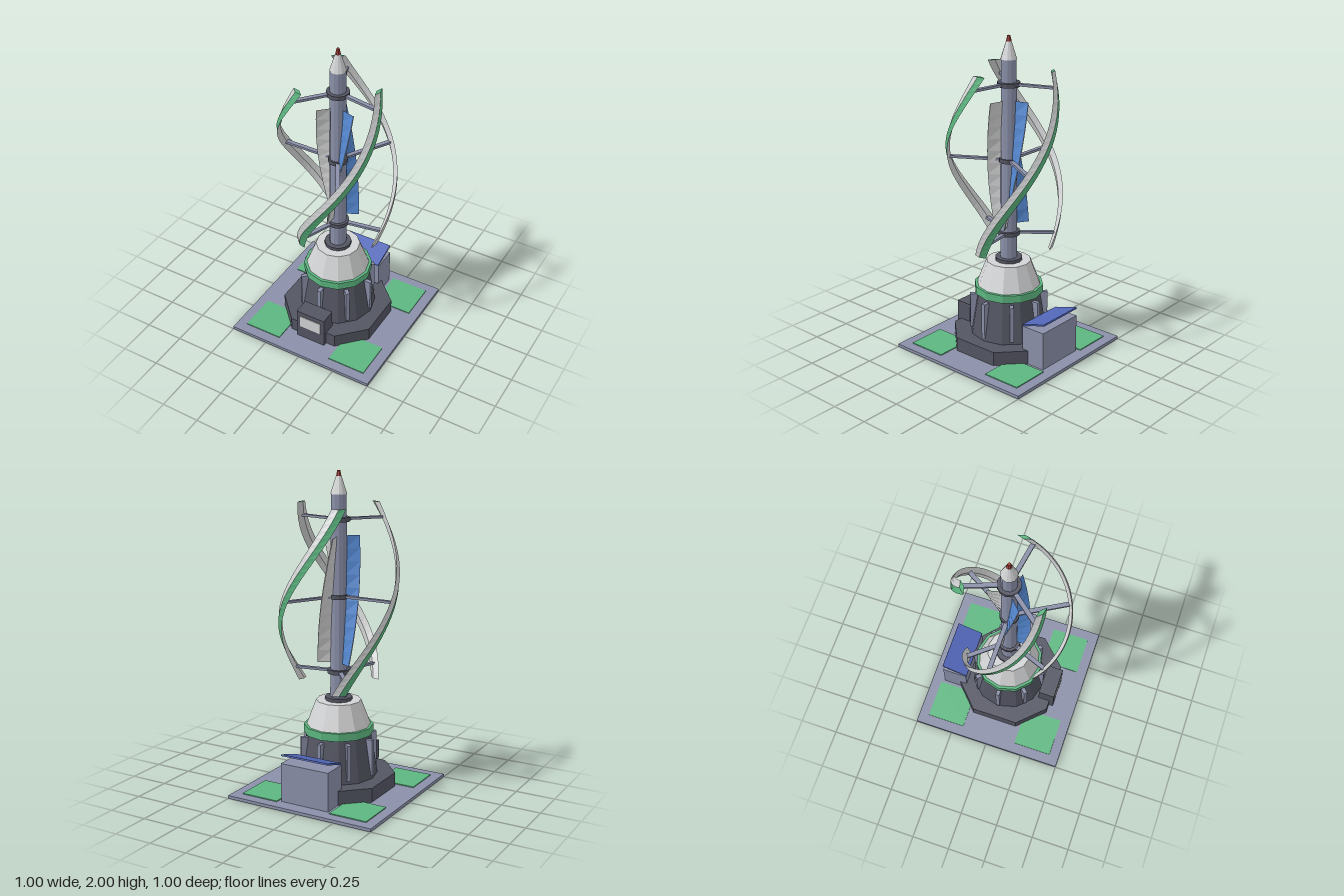
import * as THREE from 'three';

const mat = (name, color) => {
  const m = new THREE.MeshStandardMaterial({ color });
  m.name = name;
  return m;
};

export function createModel() {
  const model = new THREE.Group();
  model.name = 'verticalWindTurbine';
  const slate = mat('slate grey', 0x8a8fa8);
  const dark = mat('dark grey', 0x535562);
  const green = mat('green', 0x5cb680);
  const white = mat('light grey', 0xd2d3d4);
  const blue = mat('vane blue', 0x5487cf);
  const solar = mat('solar blue', 0x5166b8);
  const red = mat('beacon red', 0xa8413a);

  // Every part is faceted
  const add = (name, geo, material, parent = model) => {
    const flat = geo.index ? geo.toNonIndexed() : geo;
    flat.computeVertexNormals();
    const mesh = new THREE.Mesh(flat, material);
    mesh.name = name;
    parent.add(mesh);
    return mesh;
  };
  const box = (name, x0, x1, y0, y1, z0, z1, m) =>
    add(name, new THREE.BoxGeometry(x1 - x0, y1 - y0, z1 - z0)
      .translate((x0 + x1) / 2, (y0 + y1) / 2, (z0 + z1) / 2), m);
  const drum = (name, rBottom, rTop, y0, y1, m, sides = 12) =>
    add(name, new THREE.CylinderGeometry(rTop, rBottom, y1 - y0, sides)
      .translate(0, (y0 + y1) / 2, 0), m);

  // Ground plate with four lawn pads
  box('groundPlate', -0.5, 0.5, 0, 0.02, -0.5, 0.5, slate);
  for (const x of [-0.31, 0.31]) for (const z of [-0.31, 0.31])
    box('lawnPad', x - 0.125, x + 0.125, 0.02, 0.026, z - 0.125, z + 0.125, green);

  // Chamfered plinth
  const plan = [[0.32, 0.155], [0.16, 0.322], [-0.16, 0.322], [-0.32, 0.155],
    [-0.32, -0.15], [-0.16, -0.302], [0.16, -0.302], [0.32, -0.15]];
  const plinth = new THREE.ExtrudeGeometry(
    new THREE.Shape(plan.map(([x, z]) => new THREE.Vector2(x, -z))), { depth: 0.09, bevelEnabled: false });
  add('plinth', plinth.rotateX(-Math.PI / 2).translate(0, 0.02, 0), dark);

  // Tower foot, ribs, band and cowl
  drum('towerFoot', 0.244, 0.2, 0.11, 0.38, dark);
  for (let i = 0; i < 8; i++) {
    const rib = new THREE.BoxGeometry(0.025, 0.23, 0.045).translate(0, 0.245, 0.222);
    add('rib', rib.rotateY(i * Math.PI / 4), slate);
  }
  drum('greenBand', 0.2175, 0.2175, 0.38, 0.43, green);
  drum('cowl', 0.2, 0.14, 0.43, 0.587, white);
  drum('cowlCollar', 0.085, 0.085, 0.585, 0.608, dark);

  // Control box with display at the front
  box('controlBox', -0.1, 0.1, 0.02, 0.23, 0.245, 0.35, dark);
  box('display', -0.075, 0.075, 0.11, 0.196, 0.349, 0.354, white);

  // Cabinet with tilted solar panel at the back
  box('cabinet', -0.165, 0.165, 0.02, 0.265, -0.414, -0.253, slate);
  add('solarPanel', new THREE.BoxGeometry(0.322, 0.01, 0.174)
    .rotateX(0.29).translate(0, 0.295, -0.334), solar);

  // Mast, nose and beacon
  drum('mast', 0.053, 0.047, 0.6, 1.865, slate);
  drum('nose', 0.05, 0.017, 1.86, 1.965, white);
  drum('beacon', 0.017, 0.009, 1.963, 2, red, 8);

  // Point at angle a round the mast, r out from it and s along the tangent
  const polar = (a, r, y, s = 0) => new THREE.Vector3(
    r * Math.cos(a) - s * Math.sin(a), y, r * Math.sin(a) + s * Math.cos(a));
  const triangles = (pts) => new THREE.BufferGeometry().setFromPoints(pts);
  // Ribbon between a left curve p and a right curve q, both running upwards
  const ribbon = (p, q, steps) => {
    const pts = [];
    for (let i = 0; i < steps; i++) {
      const t = i / steps, u = (i + 1) / steps;
      pts.push(p(t), q(t), q(u), p(t), q(u), p(u));
    }
    return pts;
  };

  // Helical blades: diamond section, one outer face and both ends green
  const Y0 = 0.685, Y1 = 1.8;
  const bladeAngle = (k, t) => Math.PI * 2 / 3 * (k + 1 - t);
  const bladeRadius = (t) => 0.262 + 0.11 * Math.sin(Math.PI * t);
  for (let k = 0; k < 3; k++) {
    const blade = new THREE.Group();
    blade.name = 'helicalBlade';
    model.add(blade);
    const edge = (s, d) => (t) =>
      polar(bladeAngle(k, t), bladeRadius(t) + d, Y0 + (Y1 - Y0) * t, s);
    const A = edge(0.043, 0), O = edge(0, 0.013), B = edge(-0.043, 0), I = edge(0, -0.013);
    const n = 28;
    add('bladeSkin', triangles([...ribbon(A, O, n), ...ribbon(B, I, n), ...ribbon(I, A, n)]), white, blade);
    add('bladeStripe', triangles([...ribbon(O, B, n),
      A(1), O(1), B(1), A(1), B(1), I(1), A(0), B(0), O(0), A(0), I(0), B(0)]), green, blade);
  }

  // Hubs, each with three arms reaching to the blades
  for (const [y, r] of [[0.77, 0.07], [1.24, 0.06], [1.71, 0.07]]) {
    drum('hub', r, r, y - 0.013, y + 0.013, dark);
    const t = (y - Y0) / (Y1 - Y0), reach = bladeRadius(t);
    for (let k = 0; k < 3; k++) {
      const arm = new THREE.BoxGeometry(reach - 0.04, 0.015, 0.027).translate((reach + 0.04) / 2, y, 0);
      add('arm', arm.rotateY(-bladeAngle(k, t)), slate);
    }
  }

  // Twisted inner vanes, blue on one side and grey on the other
  for (let k = 0; k < 3; k++) {
    const rail = (r, s) => (t) =>
      polar(THREE.MathUtils.degToRad(92 + 120 * k - 76 * t), r, 0.825 + 0.785 * t, s);
    const vane = new THREE.Group();
    vane.name = 'innerVane';
    model.add(vane);
    const h = 0.003, n = 10;
    add('vaneBlueFace', triangles(ribbon(rail(0.04, h), rail(0.13, h), n)), blue, vane);
    add('vaneGreyFace', triangles([...ribbon(rail(0.13, -h), rail(0.04, -h), n),
      ...ribbon(rail(0.13, h), rail(0.13, -h), n)]), white, vane);
  }
  return model;
}
